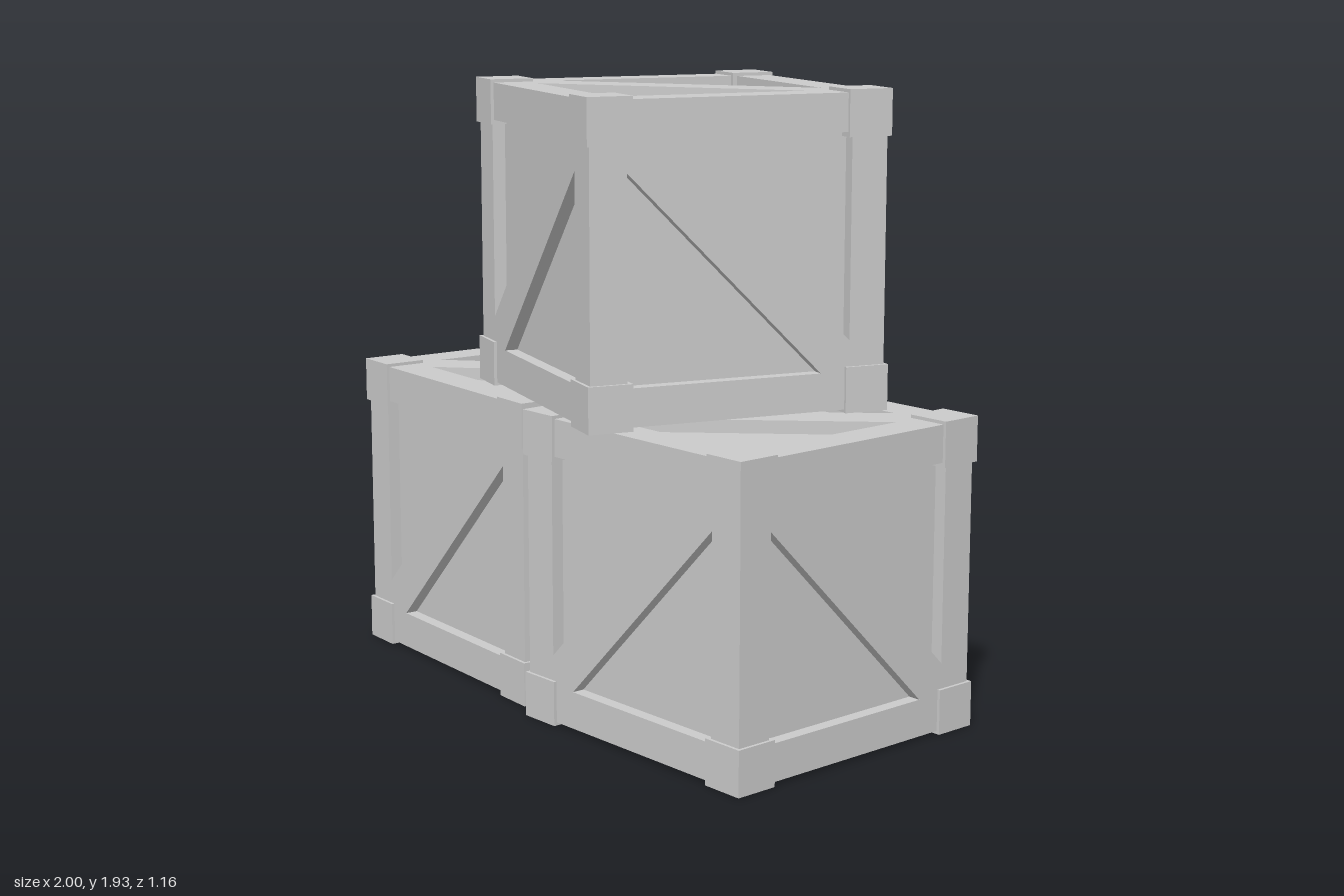
import * as THREE from 'three';

const HALF = 0.4825;   // half the crate, over the corner blocks
const FACE = 0.4725;   // outer face of beams and braces
const OPEN = 0.357;    // half the opening inside the beams
const CORE = 0.432;    // half the recessed inner box
const CORNER = 0.14;   // corner block size
const NOTCH = 0.094;   // brace width measured along the opening's edge

const material = new THREE.MeshStandardMaterial({ color: 0xcccccc, flatShading: true });
const SIGNS = [-1, 1];

function add(parent, name, geometry, x = 0, y = 0, z = 0) {
  const mesh = new THREE.Mesh(geometry, material);
  mesh.name = name;
  mesh.position.set(x, y, z);
  parent.add(mesh);
  return mesh;
}

// Diagonal board cut to fit the opening, centred on its thickness
function braceGeometry() {
  const a = OPEN, b = OPEN - NOTCH;
  const outline = [[-a, -a], [-b, -a], [a, b], [a, a], [b, a], [-a, -b]];
  const shape = new THREE.Shape(outline.map(([x, y]) => new THREE.Vector2(x, y)));
  const depth = FACE - CORE + 0.01;
  return new THREE.ExtrudeGeometry(shape, { depth, bevelEnabled: false }).translate(0, 0, FACE - depth);
}

function createCrate(name) {
  const crate = new THREE.Group();
  crate.name = name;

  // Recessed panels
  add(crate, 'panelBox', new THREE.BoxGeometry(2 * CORE, 2 * CORE, 2 * CORE));

  // Corner blocks
  const block = new THREE.BoxGeometry(CORNER, CORNER, CORNER);
  const c = HALF - CORNER / 2;
  for (const x of SIGNS) for (const y of SIGNS) for (const z of SIGNS) {
    add(crate, 'cornerBlock', block, x * c, y * c, z * c);
  }

  // Edge beams run between the corner blocks along each axis
  const width = FACE - OPEN, mid = (FACE + OPEN) / 2;
  const length = 2 * (HALF - CORNER) + 0.02;
  for (let axis = 0; axis < 3; axis++) {
    const size = [width, width, width];
    size[axis] = length;
    const beam = new THREE.BoxGeometry(...size);
    for (const s of SIGNS) for (const t of SIGNS) {
      const p = [0, 0, 0];
      p[(axis + 1) % 3] = s * mid;
      p[(axis + 2) % 3] = t * mid;
      add(crate, 'edgeBeam', beam, ...p);
    }
  }

  // Diagonal braces: front/back, sides, top/bottom; opposite faces line up
  const near = braceGeometry();
  const far = near.clone().translate(0, 0, -(2 * FACE - (FACE - CORE + 0.01)));
  const turns = [[0, 0], [0, -Math.PI / 2], [-Math.PI / 2, 0]];
  for (const [rx, ry] of turns) {
    for (const geometry of [near, far]) {
      add(crate, 'diagonalBrace', geometry).rotation.set(rx, ry, 0);
    }
  }
  return crate;
}

export function createModel() {
  const model = new THREE.Group();
  model.name = 'crateStack';
  // name, x, y, z, turn about y
  const layout = [
    ['rightCrate', -0.5175, HALF, -0.003, 0],
    ['leftCrate', 0.475, HALF, -0.003, 0.09],
    ['topCrate', 0.11, 3 * HALF, -0.003, -0.229],
  ];
  for (const [name, x, y, z, turn] of layout) {
    const crate = createCrate(name);
    crate.position.set(x, y, z);
    crate.rotation.y = turn;
    model.add(crate);
  }
  return model;
}
